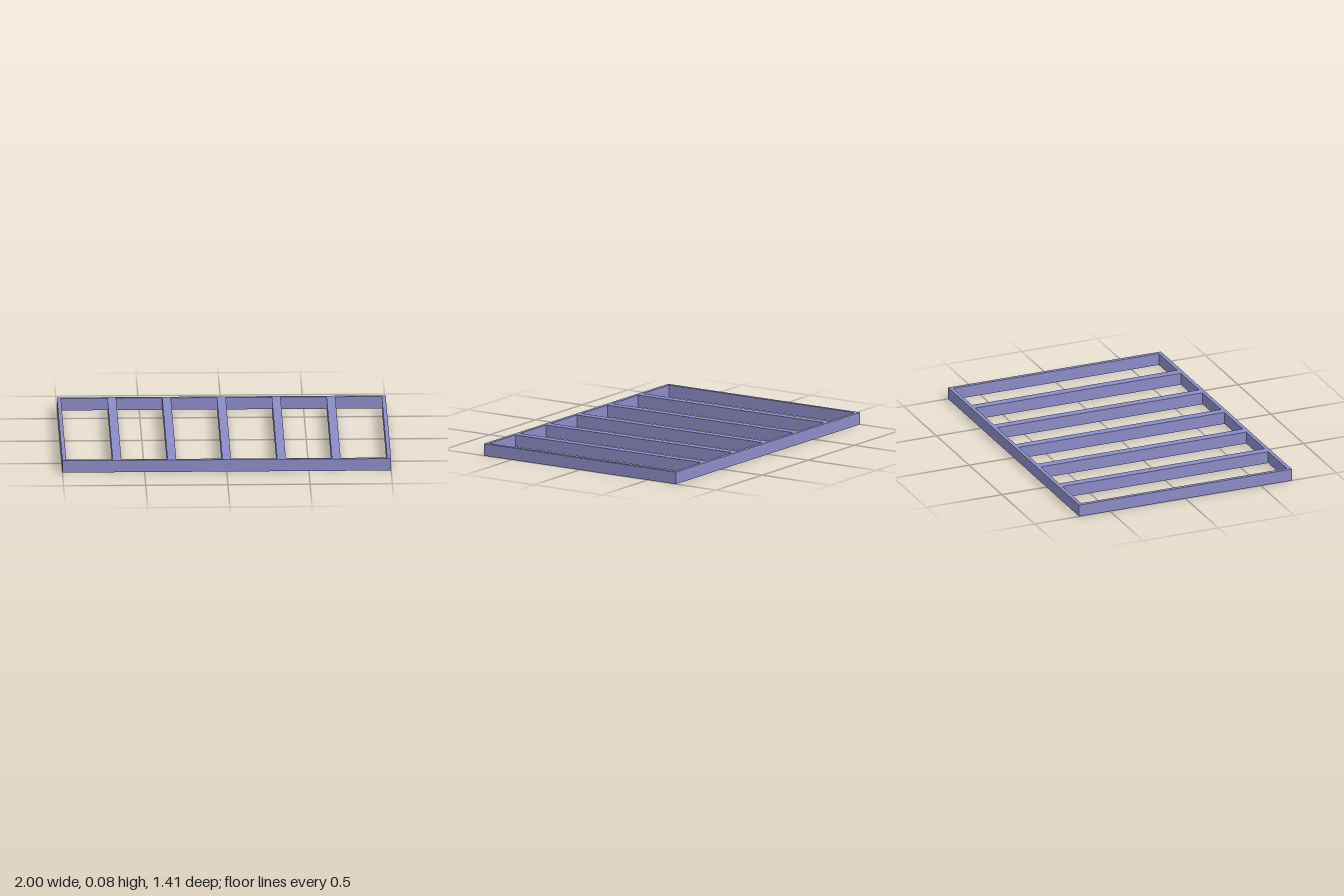
import * as THREE from 'three';

const WIDTH = 2, DEPTH = 1.41, HEIGHT = 0.075;
const RAIL = 0.024;       // thickness of the outer rails
const SLAT = 0.053;       // width of the cross slats
const SLAT_COUNT = 5;

export function createModel() {
  const group = new THREE.Group();
  group.name = 'slattedFrame';
  const material = new THREE.MeshStandardMaterial({ color: 0x8c8cc8 });

  const addBar = (name, width, depth, x, z) => {
    const bar = new THREE.Mesh(new THREE.BoxGeometry(width, HEIGHT, depth), material);
    bar.name = name;
    bar.position.set(x, HEIGHT / 2, z);
    group.add(bar);
  };

  const innerDepth = DEPTH - 2 * RAIL;

  // Outer frame: long rails front and back, short rails between them
  addBar('frontRail', WIDTH, RAIL, 0, (DEPTH - RAIL) / 2);
  addBar('backRail', WIDTH, RAIL, 0, -(DEPTH - RAIL) / 2);
  addBar('leftRail', RAIL, innerDepth, (WIDTH - RAIL) / 2, 0);
  addBar('rightRail', RAIL, innerDepth, -(WIDTH - RAIL) / 2, 0);

  // Evenly spaced cross slats, flush with the frame
  const spacing = WIDTH / (SLAT_COUNT + 1);
  for (let i = 1; i <= SLAT_COUNT; i++) {
    addBar(`crossSlat${i}`, SLAT, innerDepth, -WIDTH / 2 + i * spacing, 0);
  }
  return group;
}
